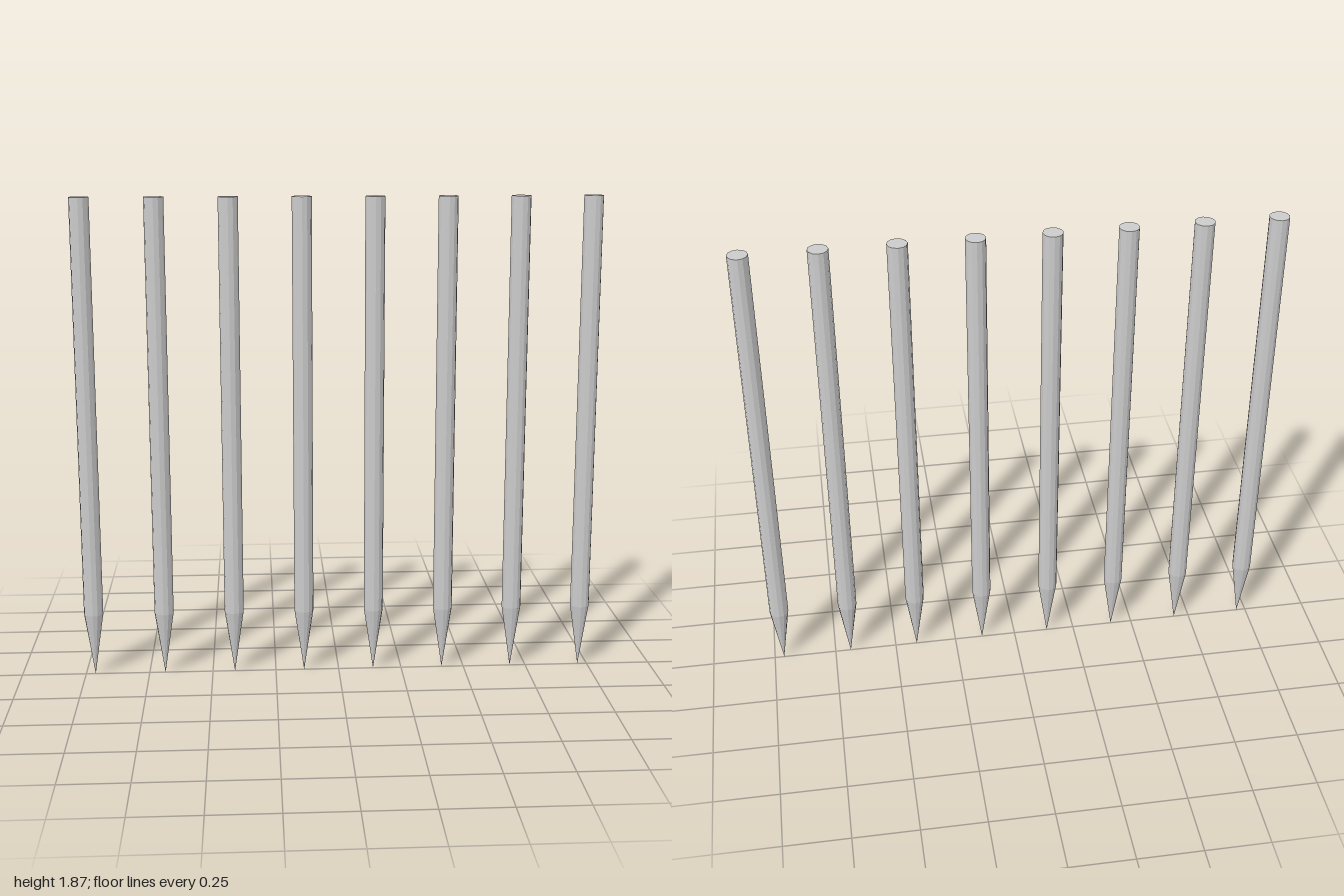
import * as THREE from 'three';

const COUNT = 8, SPACING = 0.275, RADIUS = 0.0375;
const TOP = 1.867, TIP = 0.25, SIDES = 12;

export function createModel() {
  const model = new THREE.Group();
  model.name = 'stakeRow';
  const material = new THREE.MeshStandardMaterial({ color: 0xcccccc, flatShading: true });

  // Straight shaft with a flat cap on top, open where the point joins
  const shaftGeometry = new THREE.LatheGeometry([
    new THREE.Vector2(RADIUS, TIP),
    new THREE.Vector2(RADIUS, TOP),
    new THREE.Vector2(0, TOP),
  ], SIDES);

  // Sharpened point facing down
  const pointGeometry = new THREE.LatheGeometry([
    new THREE.Vector2(0, 0),
    new THREE.Vector2(RADIUS, TIP),
  ], SIDES);

  // Evenly spaced row of stakes
  for (let i = 0; i < COUNT; i++) {
    const stake = new THREE.Group();
    stake.name = `stake${i + 1}`;
    const shaft = new THREE.Mesh(shaftGeometry, material);
    shaft.name = 'shaft';
    const point = new THREE.Mesh(pointGeometry, material);
    point.name = 'point';
    stake.add(shaft, point);
    stake.position.x = (i - (COUNT - 1) / 2) * SPACING;
    model.add(stake);
  }
  return model;
}
